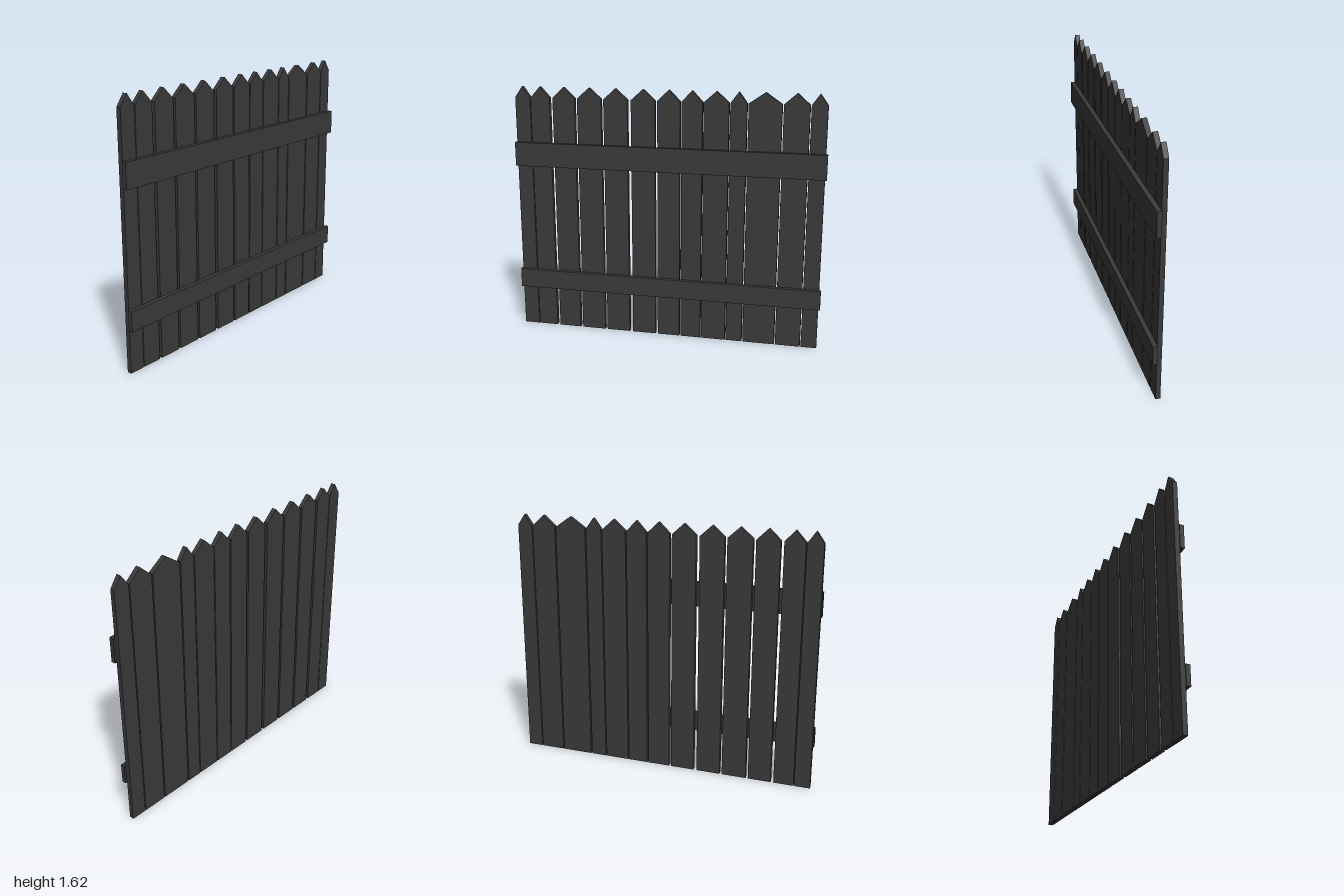
import * as THREE from 'three';

const BOARD_DEPTH = 0.03;
const SHOULDER = 1.55;
const PEAK = 1.62;

// Edges of each picket along z: [back, front]
const PICKETS = [
  [0.895, 0.995], [0.762, 0.89], [0.595, 0.742], [0.42, 0.578], [0.248, 0.404],
  [0.07, 0.225], [-0.09, 0.055], [-0.23, -0.099], [-0.395, -0.237], [-0.505, -0.402],
  [-0.717, -0.513], [-0.883, -0.725], [-0.988, -0.889],
];

// Horizontal rails: [name, bottom, top]
const RAILS = [['lowerRail', 0.27, 0.395], ['upperRail', 1.105, 1.26]];

// Pointed board drawn in the z-y plane, thickness running towards -x
function picketGeometry(back, front) {
  const shape = new THREE.Shape([
    new THREE.Vector2(back, 0),
    new THREE.Vector2(front, 0),
    new THREE.Vector2(front, SHOULDER),
    new THREE.Vector2((back + front) / 2, PEAK),
    new THREE.Vector2(back, SHOULDER),
  ]);
  return new THREE.ExtrudeGeometry(shape, { depth: BOARD_DEPTH, bevelEnabled: false })
    .rotateY(-Math.PI / 2);
}

export function createModel() {
  const fence = new THREE.Group();
  fence.name = 'fencePanel';
  const wood = new THREE.MeshStandardMaterial({ color: 0x3a3a3a });

  // Upright pickets
  const pickets = new THREE.Group();
  pickets.name = 'pickets';
  PICKETS.forEach(([back, front], i) => {
    const picket = new THREE.Mesh(picketGeometry(back, front), wood);
    picket.name = `picket${i + 1}`;
    pickets.add(picket);
  });
  fence.add(pickets);

  // Rails fixed to the +x face of the pickets
  for (const [name, bottom, top] of RAILS) {
    const rail = new THREE.Mesh(new THREE.BoxGeometry(0.028, top - bottom, 2), wood);
    rail.name = name;
    rail.position.set(0.014, (bottom + top) / 2, 0);
    fence.add(rail);
  }

  return fence;
}
